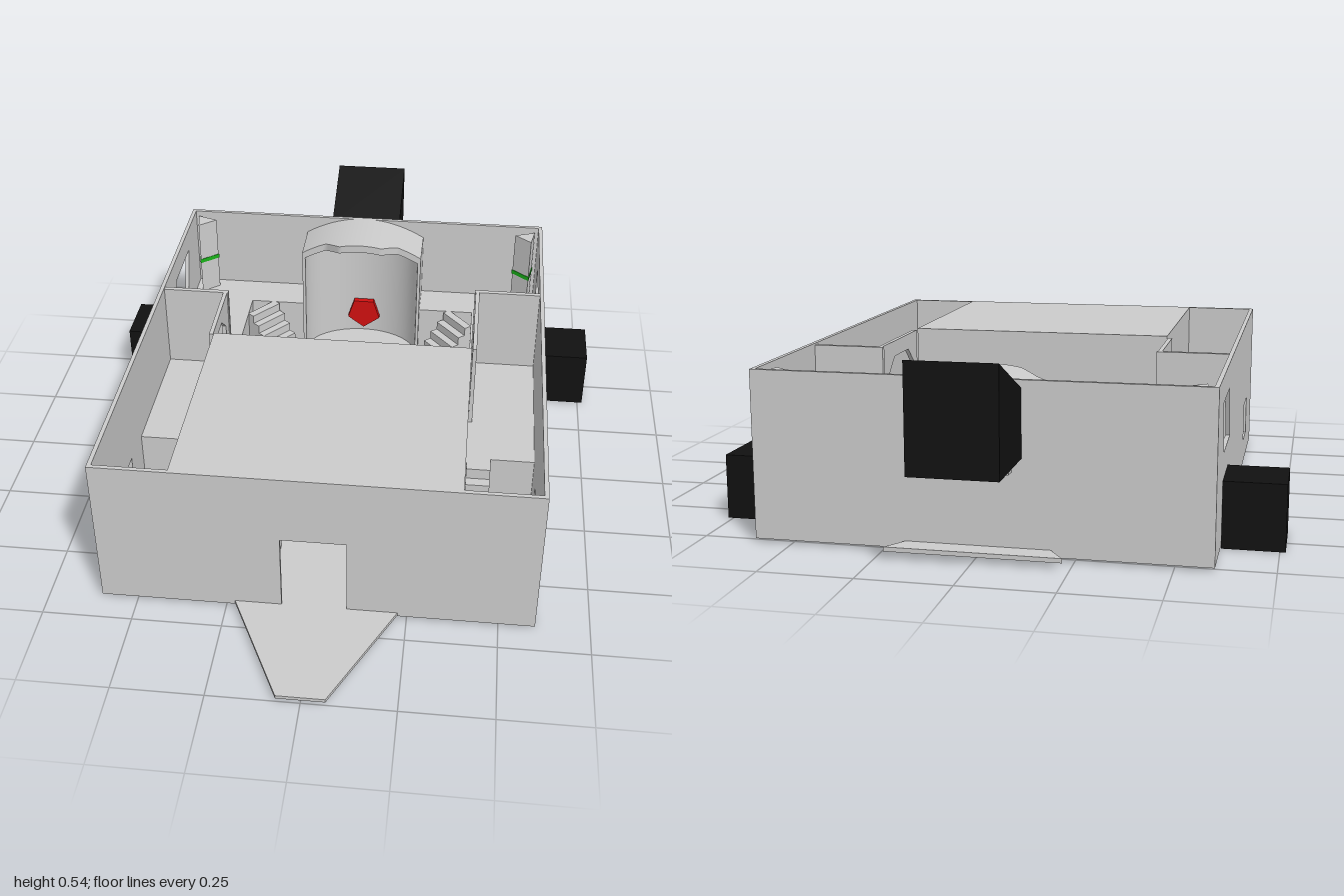
import * as THREE from 'three';

const mat = (color) => new THREE.MeshStandardMaterial({ color, flatShading: true });
const grey = mat(0xcccccc), black = mat(0x111111), red = mat(0xd01010), green = mat(0x18b018);

export function createModel() {
  const model = new THREE.Group();
  const add = (name, geo, m = grey, parent = model) => {
    const mesh = new THREE.Mesh(geo, m);
    mesh.name = name;
    parent.add(mesh);
    return mesh;
  };
  // Box given by its min and max on every axis
  const box = (name, x0, x1, y0, y1, z0, z1, m = grey, parent = model) => {
    const geo = new THREE.BoxGeometry(Math.abs(x1 - x0), y1 - y0, z1 - z0);
    geo.translate((x0 + x1) / 2, (y0 + y1) / 2, (z0 + z1) / 2);
    return add(name, geo, m, parent);
  };
  const outline = (pts) => pts.map(([a, b]) => new THREE.Vector2(a, b));
  const rect = (a0, a1, b0, b1) => [[a0, b0], [a1, b0], [a1, b1], [a0, b1]];
  const panel = (pts, holes, depth) => {
    const shape = new THREE.Shape(outline(pts));
    holes.forEach((h) => shape.holes.push(new THREE.Path(outline(h))));
    return new THREE.ExtrudeGeometry(shape, { depth, bevelEnabled: false });
  };
  // Wall facing z, drawn in x and y
  const wallZ = (name, pts, holes, z, t) => add(name, panel(pts, holes, t).translate(0, 0, z), grey);
  // Wall facing x, drawn in z and y, filling x - t to x
  const wallX = (name, pts, holes, x, t) =>
    add(name, panel(pts, holes, t).rotateY(-Math.PI / 2).translate(x, 0, 0), grey);
  // Horizontal plate drawn in x and z
  const plate = (name, pts, y, t) =>
    add(name, panel(pts.map(([x, z]) => [x, -z]), [], t).rotateX(-Math.PI / 2).translate(0, y, 0), grey);

  const T = 0.012, TOP = 0.46, FLOOR = 0.02, DECK = 0.19;

  // Hull: base, outer walls, entrance ramp
  box('base', -0.6, 0.6, 0.009, FLOOR, -0.77, 0.67);
  wallZ('frontWall', [[-0.6, 0.01], [-0.095, 0.01], [-0.095, 0.255], [0.085, 0.255], [0.085, 0.01],
    [0.6, 0.01], [0.6, TOP], [-0.6, TOP]], [], 0.67 - T, T);
  box('backWall', -0.6, 0.6, 0.01, TOP, -0.77, -0.77 + T);
  const slantWindow = [[-0.56, 0.25], [-0.355, 0.25], [-0.41, 0.39], [-0.61, 0.39]];
  const lowWindow = rect(0.3, 0.425, 0.085, 0.2);
  for (const x of [0.6, -0.6 + T]) {
    wallX('sideWall', rect(-0.77 + T, 0.67 - T, 0.01, TOP), [slantWindow, lowWindow], x, T);
  }
  plate('entranceRamp', [[-0.225, 0.67], [0.225, 0.67], [0.065, 1], [-0.065, 1]], 0.011, 0.01);

  // Rear lip and ledge
  plate('rearLip', [[-0.19, -0.77], [0.19, -0.77], [0.23, -0.83], [-0.23, -0.83]], 0.016, 0.012);
  box('rearLedge', -0.09, 0.09, 0.225, 0.25, -0.805, -0.77);

  // Rear engine, top rising toward the back
  const engine = new THREE.BoxGeometry(0.23, 0.28, 0.23).translate(0, 0.4, -0.885);
  const ep = engine.attributes.position;
  for (let i = 0; i < ep.count; i++) if (ep.getY(i) > 0.5 && ep.getZ(i) > -0.8) ep.setY(i, 0.44);
  engine.computeVertexNormals();
  add('rearEngine', engine, black);

  // Front hall with roof and a tapered doorway at its back
  box('hallRoof', -0.385, 0.385, TOP - 0.015, TOP, 0, 0.67 - T);
  wallZ('hallBackWall', [[-0.385, FLOOR], [-0.105, FLOOR], [-0.035, 0.15], [0.035, 0.15], [0.105, FLOOR],
    [0.385, FLOOR], [0.385, TOP - 0.015], [-0.385, TOP - 0.015]], [], 0, T);

  // Descending flight, local +z is the way down
  const stairs = (name, n, width, length, x, z, turn) => {
    const flight = new THREE.Group();
    flight.name = name;
    for (let i = 0; i < n; i++) {
      const d = length / n, top = DECK - (i * (DECK - FLOOR)) / n;
      box('step', -width / 2, width / 2, 0.012, top, i * d, (i + 1) * d, grey, flight);
    }
    flight.position.set(x, 0, z);
    flight.rotation.y = turn;
    model.add(flight);
  };

  for (const s of [1, -1]) {
    // Side engines
    box('sideEngine', s * 0.6, s * 0.765, 0, 0.18, -0.58, -0.405, black);

    // Hall side walls
    box('hallSideWall', s * 0.373, s * 0.385, FLOOR, TOP - 0.015, 0, 0.67 - T);

    // Raised deck with its skirts
    box('wingDeck', s * 0.38, s * 0.59, DECK - 0.015, DECK, -0.63, 0.18);
    box('stairLanding', s * 0.385, s * 0.46, DECK - 0.015, DECK, 0.18, 0.2);
    box('rearDeck', s * 0.2, s * 0.59, DECK - 0.015, DECK, -0.76, -0.63);
    box('wingDeckSkirt', s * 0.38, s * 0.39, FLOOR, DECK - 0.015, -0.63, 0);
    box('rearDeckSkirt', s * 0.2, s * 0.38, FLOOR, DECK - 0.015, -0.64, -0.63);
    box('deckEndWall', s * 0.46, s * 0.59, FLOOR, DECK - 0.015, 0.17, 0.18);

    // Cabin partitions on the deck, the long one with a window
    const zEnd = s > 0 ? -0.34 : -0.255;
    box('cabinWall', s * 0.385, s * 0.59, DECK, TOP - 0.005, zEnd, zEnd + 0.015);
    const a = zEnd + 0.06, b = -0.03;
    wallX('cabinWindowWall', rect(zEnd, 0, DECK, TOP - 0.005),
      [[[a, 0.3], [b, 0.3], [b, 0.36], [b - 0.06, 0.41], [a + 0.06, 0.41], [a, 0.36]]],
      s > 0 ? 0.4 : -0.388, 0.012);

    // Stairs
    stairs('cornerStairs', 6, 0.12, 0.156, -s * 0.3425, -0.59, s * 0.876);
    stairs('wingStairs', 5, 0.07, 0.155, s * 0.425, 0.2, 0);

    // Corner consoles with a light band
    const post = add('cornerConsole',
      new THREE.CylinderGeometry(0.04, 0.04, 0.26, 3).translate(s * 0.55, DECK + 0.13, -0.712));
    post.geometry.translate(-s * 0.55, 0, 0.712).rotateY(s * 0.35).translate(s * 0.55, 0, -0.712);
    add('consoleLight', new THREE.CylinderGeometry(0.043, 0.043, 0.014, 3)
      .rotateY(s * 0.35).translate(s * 0.55, 0.31, -0.712), green);

    // Hall consoles
    box('hallConsole', s * 0.13, s * 0.19, FLOOR, 0.105, 0.43, 0.47);
    box('hallConsoleLight', s * 0.13, s * 0.19, 0.105, 0.117, 0.43, 0.47, green);

    // Rear alcove side
    box('alcoveSide', s * 0.19, s * 0.2, FLOOR, 0.39, -0.76, -0.61);

    // Small triangular foot under each wing
    plate('foot', [[s * 0.39, -0.145], [s * 0.53, -0.185], [s * 0.5, -0.105]], 0, 0.01);
    box('stairSill', s * 0.39, s * 0.46, 0.005, 0.01, 0.33, 0.345);
  }

  // Rear alcove: curved back, arched canopy, red panel
  const curve = add('alcoveBack',
    new THREE.CylinderGeometry(0.19, 0.19, 0.37, 24, 1, true, Math.PI / 2, Math.PI)
      .scale(1, 1, 0.75).translate(0, FLOOR + 0.185, -0.61));
  curve.material = new THREE.MeshStandardMaterial({ color: 0xcccccc, side: THREE.DoubleSide });
  const canopy = new THREE.BoxGeometry(0.4, 0.025, 0.16, 40, 1, 1);
  const cp = canopy.attributes.position;
  for (let i = 0; i < cp.count; i++) {
    const x = cp.getX(i), k = Math.min(1, Math.max(0, (0.12 - Math.abs(x)) / 0.05));
    cp.setZ(i, cp.getZ(i) > 0 ? -0.61 + 0.04 * k : -0.765);
    cp.setY(i, cp.getY(i) + 0.449 - 0.06 * (x / 0.2) ** 2);
  }
  canopy.computeVertexNormals();
  add('alcoveCanopy', canopy, new THREE.MeshStandardMaterial({ color: 0xcccccc }));
  add('redPanel', new THREE.CylinderGeometry(0.058, 0.058, 0.02, 5)
    .rotateX(Math.PI / 2).translate(0, 0.105, -0.735), red);

  return model;
}
